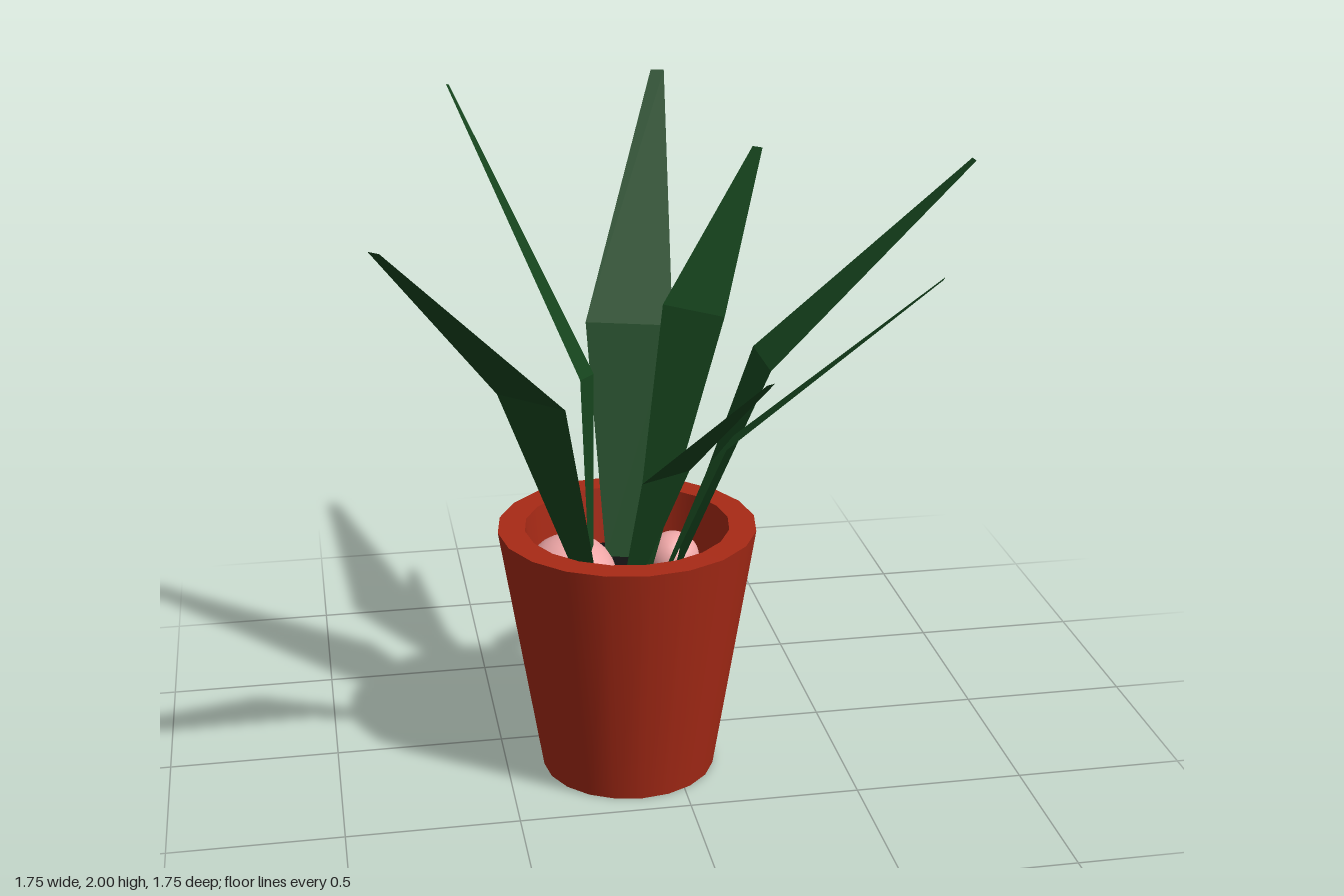
import * as THREE from 'three';

const POT_X = -0.132, POT_Z = 0.178;
const paint = (color, extra = {}) => new THREE.MeshStandardMaterial({ color, ...extra });

// Leaf: a flat strip folded once; narrow base, wide bend, narrow tip.
// Points are [x, y, z]; side is the direction of the leaf's width.
function leafGeometry({ base, mid, tip, width, side }) {
  const across = side
    ? new THREE.Vector3(...side).normalize()
    : new THREE.Vector3(mid[2] - tip[2], 0, tip[0] - mid[0]).normalize();
  const rows = [[base, 0.29], [mid, 1], [tip, 0.16]];
  const positions = [];
  for (const [centre, share] of rows) {
    for (const s of [-0.5, 0.5]) {
      const p = new THREE.Vector3(...centre).addScaledVector(across, s * share * width);
      positions.push(p.x, p.y, p.z);
    }
  }
  const g = new THREE.BufferGeometry();
  g.setAttribute('position', new THREE.Float32BufferAttribute(positions, 3));
  g.setIndex([0, 1, 3, 0, 3, 2, 2, 3, 5, 2, 5, 4]);
  const flat = g.toNonIndexed();
  flat.computeVertexNormals();
  return flat;
}

const LEAVES = [
  { name: 'frontRightLeaf', base: [-0.255, 0.6, 0.25], mid: [-0.436, 1.25, 0.431], tip: [-0.86, 1.81, 0.862], width: 0.234 },
  { name: 'leftLeaf', base: [0.005, 0.6, 0.175], mid: [0.264, 1.25, 0.175], tip: [0.872, 1.81, 0.175], width: 0.234 },
  { name: 'backLeaf', base: [-0.135, 0.6, 0.035], mid: [-0.058, 1.25, -0.22], tip: [0.145, 1.89, -0.873], width: 0.265 },
  { name: 'backLeftLeaf', base: [-0.09, 0.6, 0.17], mid: [0.1, 1.345, -0.015], tip: [0.339, 1.77, -0.255], width: 0.218 },
  { name: 'backRightLeaf', base: [-0.24, 0.6, 0.19], mid: [-0.232, 1.195, 0.09], tip: [-0.58, 1.995, -0.232], width: 0.275, side: [-0.076, 0.07, 0.255] },
  { name: 'frontLeftLeaf', base: [-0.055, 0.6, 0.278], mid: [0.108, 1.056, 0.373], tip: [0.643, 1.61, 0.662], width: 0.23 },
  { name: 'frontLeaf', base: [-0.152, 0.6, 0.308], mid: [-0.07, 1.02, 0.47], tip: [0.134, 1.41, 0.853], width: 0.167 },
];

export function createModel() {
  const plant = new THREE.Group();
  plant.name = 'pottedPlant';
  const add = (name, geometry, material, x = 0, y = 0, z = 0) => {
    const mesh = new THREE.Mesh(geometry, material);
    mesh.name = name;
    mesh.position.set(x, y, z);
    plant.add(mesh);
    return mesh;
  };

  // Pot: tapered wall, flat rim, inner wall and bottom
  const clay = paint(0xa82a16);
  const clayInside = paint(0xa82a16, { side: THREE.BackSide });
  const TOP = 0.765, SOIL = 0.59, SIDES = 20;
  add('potWall', new THREE.CylinderGeometry(0.379, 0.257, TOP, SIDES, 1, true), clay, POT_X, TOP / 2, POT_Z);
  add('potRim', new THREE.RingGeometry(0.3, 0.379, SIDES).rotateX(-Math.PI / 2).rotateY(Math.PI / 2), clay, POT_X, TOP, POT_Z);
  add('potInnerWall', new THREE.CylinderGeometry(0.3, 0.285, TOP - SOIL, SIDES, 1, true), clayInside, POT_X, (TOP + SOIL) / 2, POT_Z);
  add('potBottom', new THREE.CircleGeometry(0.257, SIDES).rotateX(Math.PI / 2).rotateY(Math.PI / 2), clay, POT_X, 0, POT_Z);

  // Soil
  add('soil', new THREE.CircleGeometry(0.287, SIDES).rotateX(-Math.PI / 2).rotateY(Math.PI / 2), paint(0x111111), POT_X, SOIL, POT_Z);

  // Pebbles lying on the soil
  const stone = paint(0xf0a8a8);
  const ball = new THREE.SphereGeometry(1, 24, 16);
  add('largePebble', ball, stone, -0.29, 0.585, 0.105).scale.set(0.135, 0.115, 0.165);
  add('smallPebble', ball, stone, 0.02, 0.61, 0.09).scale.set(0.08, 0.08, 0.08);

  // Leaves
  const green = paint(0x17471f, { side: THREE.DoubleSide, flatShading: true });
  for (const leaf of LEAVES) add(leaf.name, leafGeometry(leaf), green);

  return plant;
}
